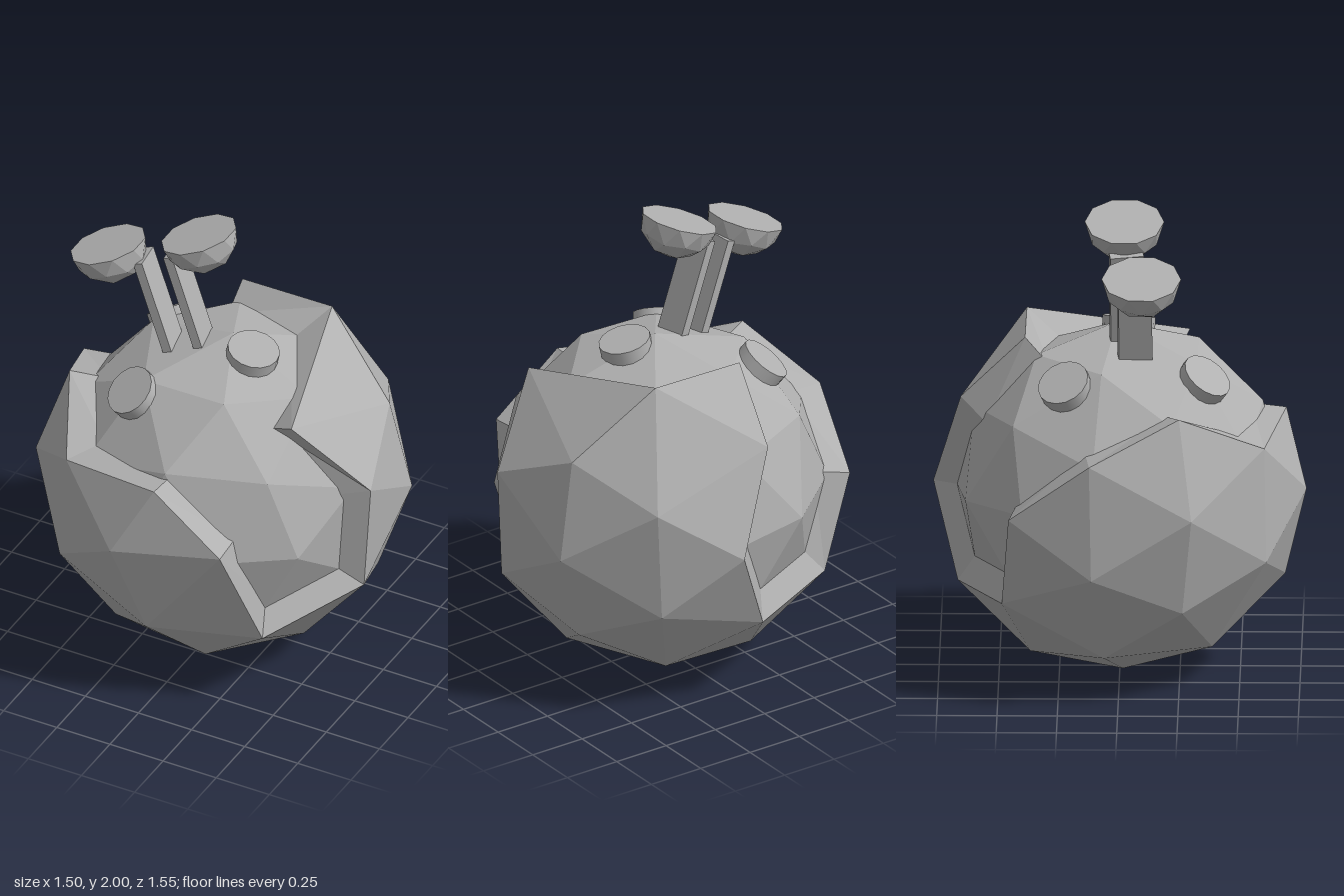
import * as THREE from 'three';

const V = (x, y, z) => new THREE.Vector3(x, y, z);
const CENTRE_Y = 0.785;
const R = 0.785;

// Frame whose y runs along an axis and whose x points towards a side direction
function frame(axis, side) {
  const y = axis.clone().normalize();
  const x = side.clone().addScaledVector(y, -side.dot(y)).normalize();
  return new THREE.Matrix4().makeBasis(x, y, x.clone().cross(y));
}

// Triangles of an 80-sided ball with one five-way corner on the given axis
function ballFaces(radius, axis, side) {
  const t = (1 + Math.sqrt(5)) / 2;
  const turn = frame(axis, side).multiply(frame(V(-1, t, 0), V(1, t, 0)).transpose());
  const pos = new THREE.IcosahedronGeometry(radius, 1).applyMatrix4(turn).getAttribute('position');
  const faces = [];
  for (let i = 0; i < pos.count; i += 3) {
    faces.push([0, 1, 2].map((k) => new THREE.Vector3().fromBufferAttribute(pos, i + k)));
  }
  return faces;
}

// Flat-faced geometry from a list of triangles
function facesToGeometry(faces) {
  const g = new THREE.BufferGeometry().setFromPoints(faces.flat());
  g.computeVertexNormals();
  return g;
}

const AXIS = V(-0.153, 0.026, 0.988);
const SIDE = V(0.252, -0.964, 0.064);

// Corners of the shell that are broken away
const MISSING = [
  V(0.64, -0.025, 0.455), V(0.492, 0.377, 0.484), V(0.198, 0.665, 0.368), V(-0.231, 0.654, 0.365),
  V(0.044, 0.784, -0.014), V(-0.42, 0.657, -0.082), V(-0.448, 0.407, -0.498), V(-0.305, 0.003, -0.723),
];
// Rim corners shifted from the regular ball: [from, to]
const SHIFTED = [
  [V(0.045, 0.403, 0.672), V(0.04, 0.325, 0.69)],
  [V(0.305, -0.003, 0.723), V(0.35, 0.085, 0.69)],
  [V(0.49, 0.612, 0.06), V(0.47, 0.535, 0.285)],
  [V(0.302, 0.613, -0.387), V(0.3, 0.675, -0.39)],
  [V(-0.002, 0.38, -0.686), V(-0.08, 0.4, -0.66)],
];

// Broken outer shell with a sloping wall around the opening
function shellGeometry() {
  const near = (a, b) => a.distanceTo(b) < 0.08;
  const isMissing = (p) => MISSING.some((m) => near(m, p));
  const key = (p) => p.toArray().map((n) => Math.round(n * 500)).join();
  const faces = ballFaces(R, AXIS, SIDE);
  for (const p of faces.flat()) {
    const shift = SHIFTED.find(([from]) => near(from, p));
    if (shift) p.copy(shift[1]);
  }
  const kept = faces.filter((f) => !f.some(isMissing));
  const gone = faces.filter((f) => f.some(isMissing));

  // Wall foot: the rim corner pulled towards the opening and inwards
  const foot = (p) => {
    const mean = V(0, 0, 0);
    let count = 0;
    for (const f of gone) {
      if (!f.some((q) => key(q) === key(p))) continue;
      for (const q of f.filter(isMissing)) { mean.add(q); count++; }
    }
    return p.clone().lerp(mean.divideScalar(count), 0.25).setLength(0.64);
  };

  const edges = new Set();
  for (const f of kept) f.forEach((a, i) => edges.add(key(a) + '|' + key(f[(i + 1) % 3])));
  const wall = [];
  for (const f of kept) {
    f.forEach((a, i) => {
      const b = f[(i + 1) % 3];
      if (edges.has(key(b) + '|' + key(a))) return;
      const fa = foot(a), fb = foot(b);
      wall.push([b, a, fa], [b, fa, fb]);
    });
  }
  return facesToGeometry([...kept, ...wall]);
}

export function createModel() {
  const model = new THREE.Group();
  model.name = 'crackedBall';
  const grey = new THREE.MeshStandardMaterial({ color: 0xb0b0b0 });
  grey.name = 'grey';

  function add(name, geometry, parent = model) {
    const mesh = new THREE.Mesh(geometry, grey);
    mesh.name = name;
    parent.add(mesh);
    return mesh;
  }

  // Shell and core
  add('outerShell', shellGeometry()).position.y = CENTRE_Y;
  add('innerCore', facesToGeometry(ballFaces(0.692, AXIS, SIDE))).position.y = CENTRE_Y;

  // Round studs lying on the core
  const up = V(0, 1, 0);
  for (const dir of [V(-0.24, 0.525, 0.355), V(-0.36, 0.53, -0.225), V(0.155, 0.66, 0.035)]) {
    const stud = add('stud', new THREE.CylinderGeometry(0.11, 0.11, 0.08, 16));
    stud.position.copy(dir).setLength(0.66);
    stud.position.y += CENTRE_Y;
    stud.quaternion.setFromUnitVectors(up, dir.clone().normalize());
  }

  // Leaning stalks with half-ball cups
  const lean = V(-0.325, 0.945, 0).normalize();
  const bowl = ballFaces(0.165, V(0, -1, 0), V(1, 0, 0)).filter((f) => f.every((p) => p.y < 0.01));
  const rim = bowl.flat().filter((p) => Math.abs(p.y) < 0.01);
  const lid = [];
  for (const f of bowl) {
    const top = f.filter((p) => rim.includes(p));
    if (top.length !== 2) continue;
    const [a, b] = top;
    const facesUp = a.z * b.x - a.x * b.z > 0;
    lid.push(facesUp ? [V(0, 0, 0), a, b] : [V(0, 0, 0), b, a]);
  }
  const cupGeometry = facesToGeometry([...bowl, ...lid]);
  const stalks = [
    { cup: V(-0.495, 1.815, 0.095), foot: V(-0.19, 1.34, 0.065), top: V(-0.345, 1.79, 0.065) },
    { cup: V(-0.108, 1.95, 0.02), foot: V(-0.065, 1.38, 0.03), top: V(-0.222, 1.84, 0.03) },
  ];
  for (const { cup, foot, top } of stalks) {
    const eye = new THREE.Group();
    eye.name = 'stalkWithCup';
    model.add(eye);
    const bowlMesh = add('cup', cupGeometry, eye);
    bowlMesh.position.copy(cup);
    bowlMesh.quaternion.setFromUnitVectors(up, lean);
    const stalk = add('stalk', new THREE.BoxGeometry(0.04, foot.distanceTo(top), 0.14), eye);
    stalk.position.copy(foot).lerp(top, 0.5);
    stalk.quaternion.setFromUnitVectors(up, top.clone().sub(foot).normalize());
    stalk.rotateY(0.15);
  }
  return model;
}
